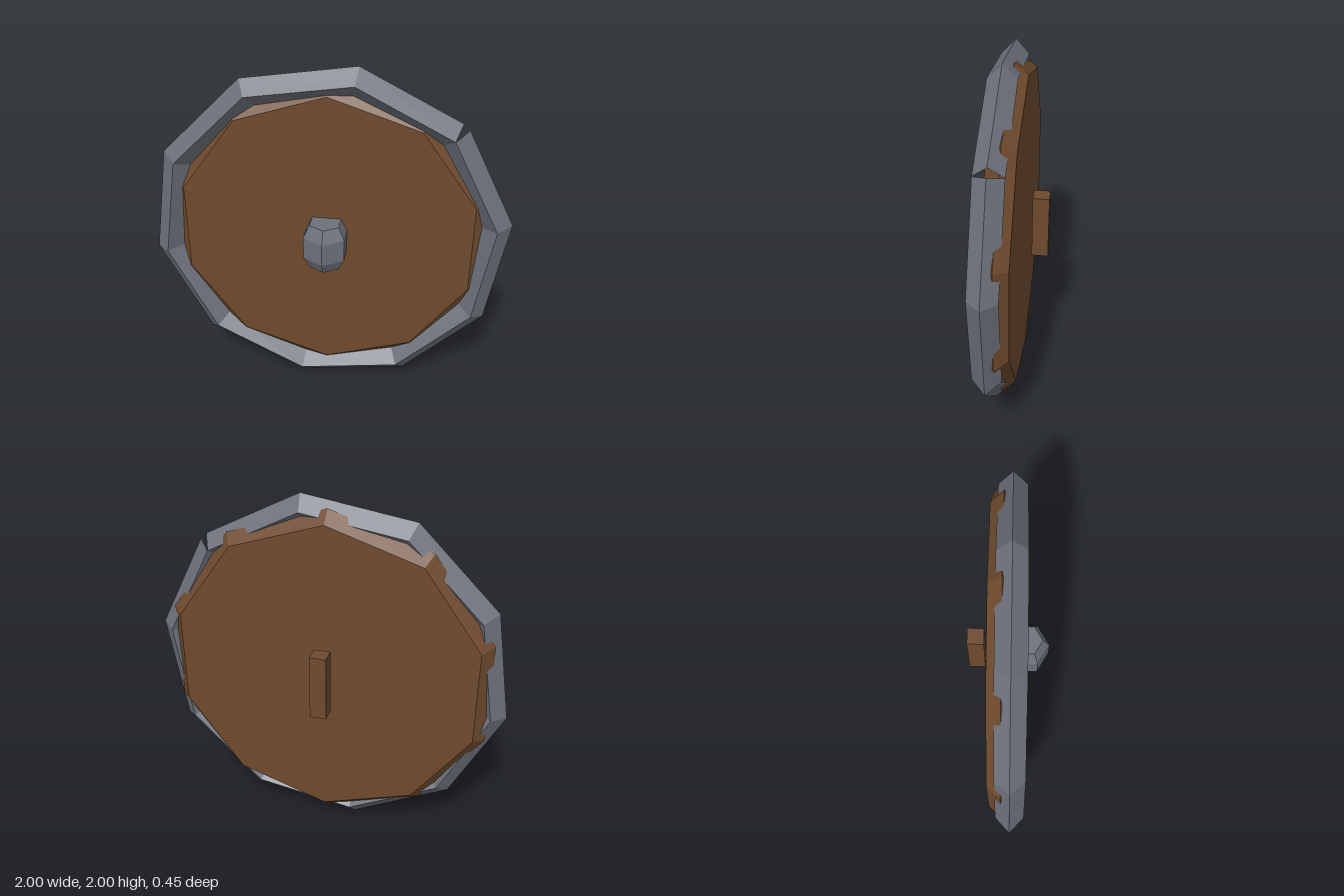
import * as THREE from 'three';

const CENTER_Y = 1.003;

// Rim: a diamond section swept round ten corners, with square-cut ends that leave an open seam
function rimGeometry() {
  const sides = 10, pathR = 0.93, half = 0.077, midZ = 0.015;
  const step = (Math.PI * 2) / sides;
  const positions = [], indices = [];
  for (let i = 0; i <= sides; i++) {
    const a = Math.PI / 4 + i * step;
    const isEnd = i === 0 || i === sides;
    // ends are cut square to their edge, other corners are mitred
    const dir = i === 0 ? a + step / 2 : i === sides ? a - step / 2 : a;
    const reach = isEnd ? half : half / Math.cos(step / 2);
    for (let j = 0; j < 4; j++) {
      const t = (j * Math.PI) / 2;
      const out = Math.cos(t) * reach;
      positions.push(
        Math.cos(a) * pathR + Math.cos(dir) * out,
        Math.sin(a) * pathR + Math.sin(dir) * out,
        midZ + Math.sin(t) * half
      );
    }
  }
  for (let i = 0; i < sides; i++) {
    for (let j = 0; j < 4; j++) {
      const a = i * 4 + j, b = i * 4 + ((j + 1) % 4);
      indices.push(a, a + 4, b, b, a + 4, b + 4);
    }
  }
  const g = new THREE.BufferGeometry();
  g.setAttribute('position', new THREE.Float32BufferAttribute(positions, 3));
  g.setIndex(indices);
  return flat(g);
}

function flat(geometry) {
  const g = geometry.toNonIndexed();
  g.computeVertexNormals();
  return g;
}

// Faceted solid of revolution from [radius, height] pairs, bottom to top
function facetedLathe(profile, sides) {
  return new THREE.LatheGeometry(profile.map(([r, y]) => new THREE.Vector2(r, y)), sides);
}

export function createModel() {
  const group = new THREE.Group();
  group.name = 'roundShield';

  const wood = new THREE.MeshStandardMaterial({ color: 0x6e4a2d });
  wood.name = 'brown wood';
  const metal = new THREE.MeshStandardMaterial({ color: 0x6d717b });
  metal.name = 'grey metal';

  const add = (name, geometry, material, z = 0) => {
    const mesh = new THREE.Mesh(geometry, material);
    mesh.name = name;
    mesh.position.set(0, CENTER_Y, z);
    group.add(mesh);
  };

  // Wooden board: widest near the middle, its corners just breaking through the rim
  const board = facetedLathe([[0, -0.1], [0.88, -0.1], [0.945, -0.03], [0.84, 0.05], [0, 0.05]], 10);
  board.rotateX(Math.PI / 2);
  add('board', flat(board), wood);

  // Metal rim
  add('rim', rimGeometry(), metal);

  // Six-sided boss standing upright with one edge forward
  const boss = facetedLathe([[0, -0.135], [0.092, -0.135], [0.13, -0.065], [0.13, 0.065], [0.092, 0.135], [0, 0.135]], 6);
  add('boss', flat(boss), metal, 0.095);

  // Hand grip floating behind the board
  add('grip', new THREE.BoxGeometry(0.092, 0.375, 0.092), wood, -0.18);

  return group;
}
